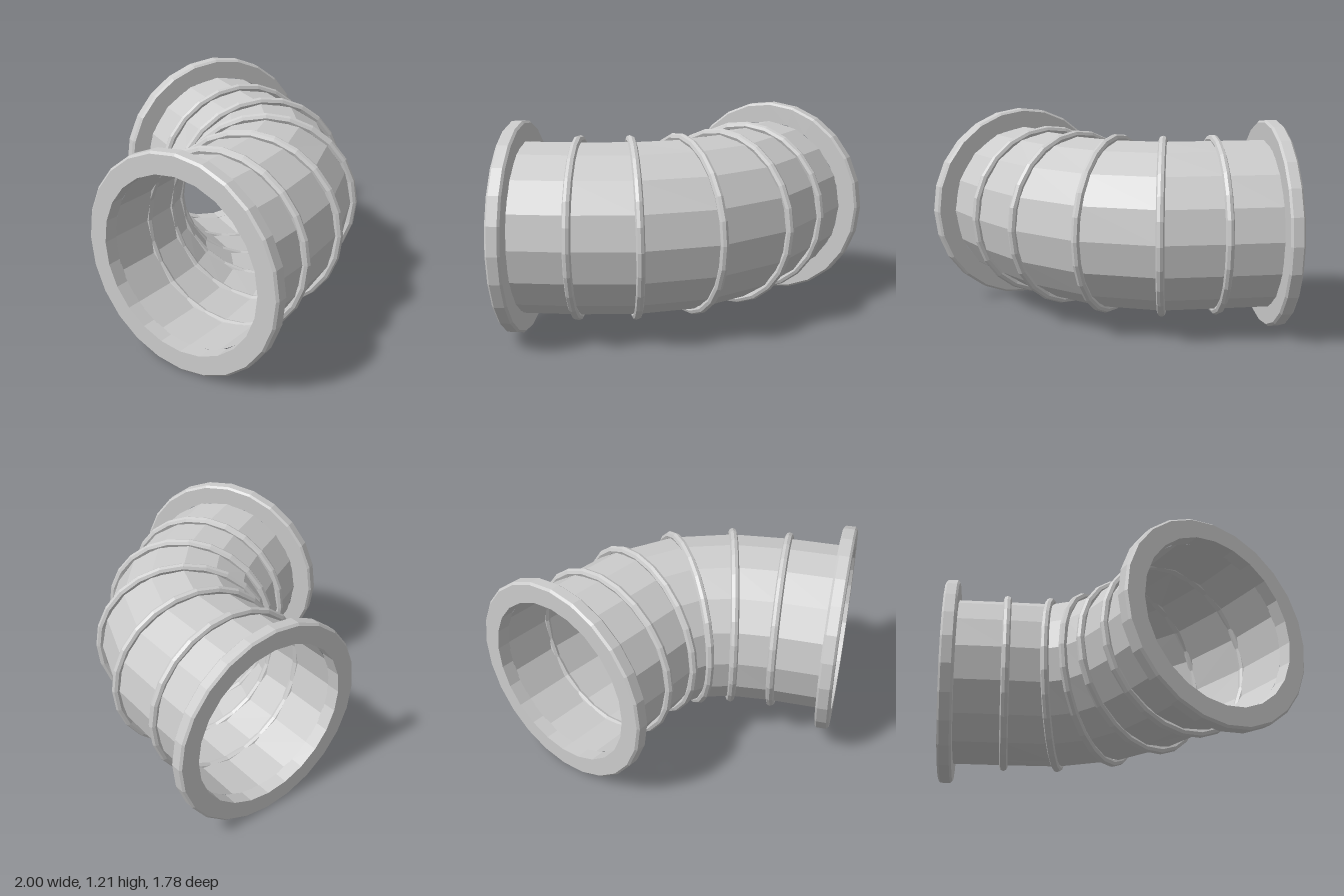
import * as THREE from 'three';

const AXIS_Y = 0.605;
const PIPE_R = 0.489, PIPE_SIDES = 16;
const FLANGE_R = 0.603, HOLE_R = 0.486, FLANGE_T = 0.08;

// Stations along the bend: x, z of the centre and heading in degrees
const START = [-1, 0.283, 0];
const JOINTS = [
  [-0.624, 0.284, 3],
  [-0.327, 0.256, 13],
  [-0.051, 0.157, 31.7],
  [0.163, -0.034, 52.5],
  [0.298, -0.297, 62],
];
const END = [0.465, -0.629, 63.5];

const material = new THREE.MeshStandardMaterial({
  color: 0xcccccc, flatShading: true, side: THREE.DoubleSide,
});

// Places an object whose local +x follows the heading of a station
function place(object, [x, z, heading]) {
  object.position.set(x, AXIS_Y, z);
  object.rotation.y = THREE.MathUtils.degToRad(heading);
  return object;
}

// Moves a station along its own heading
function advance([x, z, heading], d) {
  const a = THREE.MathUtils.degToRad(heading);
  return [x + d * Math.cos(a), z - d * Math.sin(a), heading];
}

// Segmented pipe skin: one circular loop per station
function pipeGeometry(stations) {
  const positions = [], index = [], n = PIPE_SIDES;
  stations.forEach(([x, z, heading], s) => {
    const a = THREE.MathUtils.degToRad(heading);
    for (let i = 0; i < n; i++) {
      const t = (i / n) * Math.PI * 2;
      const side = PIPE_R * Math.sin(t);
      positions.push(x + side * Math.sin(a), AXIS_Y + PIPE_R * Math.cos(t), z + side * Math.cos(a));
      if (s === 0) continue;
      const j = (i + 1) % n, p = (s - 1) * n, q = s * n;
      index.push(p + i, p + j, q + j, p + i, q + j, q + i);
    }
  });
  const geometry = new THREE.BufferGeometry();
  geometry.setAttribute('position', new THREE.Float32BufferAttribute(positions, 3));
  geometry.setIndex(index);
  geometry.computeVertexNormals();
  return geometry;
}

// Flat end ring with softened outer edges, centred on its thickness
function flangeGeometry() {
  const h = FLANGE_T / 2, b = 0.012;
  const profile = [
    [HOLE_R, -h], [FLANGE_R - b, -h], [FLANGE_R, -h + b],
    [FLANGE_R, h - b], [FLANGE_R - b, h], [HOLE_R, h], [HOLE_R, -h],
  ].map(([r, y]) => new THREE.Vector2(r, y));
  return new THREE.LatheGeometry(profile, 24).rotateZ(-Math.PI / 2);
}

export function createModel() {
  const model = new THREE.Group();
  model.name = 'pipeElbow';

  const add = (name, geometry, station) => {
    const mesh = new THREE.Mesh(geometry, material);
    mesh.name = name;
    if (station) place(mesh, station);
    model.add(mesh);
  };

  // Pipe body between the inner faces of the flanges
  const inset = FLANGE_T - 0.005;
  add('pipe', pipeGeometry([advance(START, inset), ...JOINTS, advance(END, -inset)]));

  // End flanges
  const flange = flangeGeometry();
  add('startFlange', flange, advance(START, FLANGE_T / 2));
  add('endFlange', flange, advance(END, -FLANGE_T / 2));

  // Raised seam bead at each joint
  const bead = new THREE.TorusGeometry(0.5, 0.024, 8, 24).rotateY(Math.PI / 2);
  JOINTS.forEach((joint, i) => add(`jointRing${i + 1}`, bead, joint));

  return model;
}
